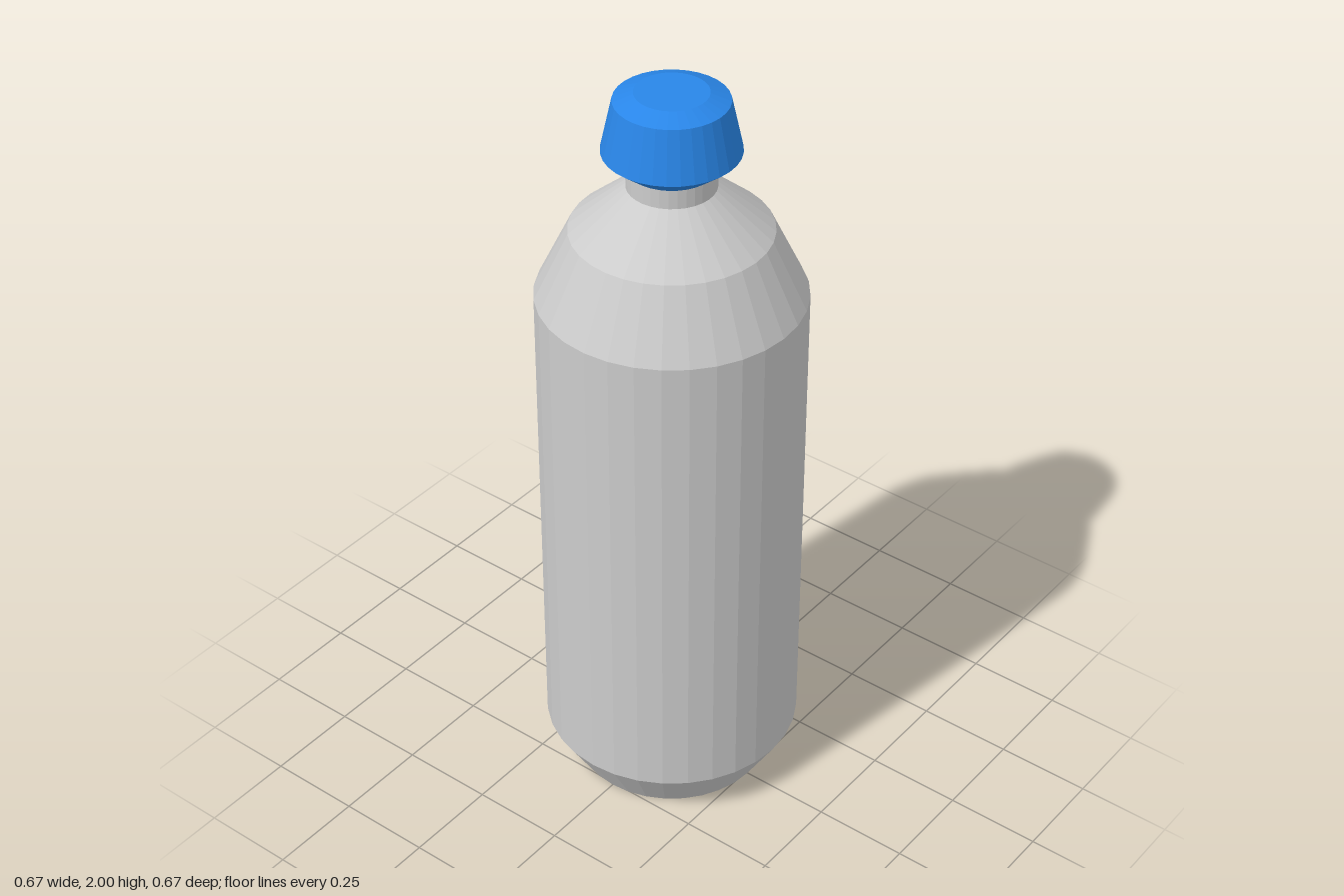
import * as THREE from 'three';

const SIDES = 32;

// Turned part from [radius, height] pairs, listed bottom to top
function turned(name, profile, color) {
  const points = profile.map(([r, y]) => new THREE.Vector2(r, y));
  const material = new THREE.MeshStandardMaterial({ color, flatShading: true });
  const mesh = new THREE.Mesh(new THREE.LatheGeometry(points, SIDES), material);
  mesh.name = name;
  return mesh;
}

export function createModel() {
  const bottle = new THREE.Group();
  bottle.name = 'bottle';

  // Body: closed base, chamfer, straight wall, two-step shoulder
  bottle.add(turned('body', [
    [0, 0], [0.257, 0], [0.336, 0.13], [0.336, 1.45], [0.25, 1.63], [0.11, 1.75],
  ], 0xcccccc));

  // Neck between shoulder and cap
  bottle.add(turned('neck', [[0.11, 1.75], [0.11, 1.8]], 0xcccccc));

  // Cap: flared underside, tapered wall, slightly raised top
  bottle.add(turned('cap', [
    [0, 1.8], [0.11, 1.8], [0.169, 1.847], [0.14, 1.98], [0.09, 2], [0, 2],
  ], 0x2986e8));

  return bottle;
}
